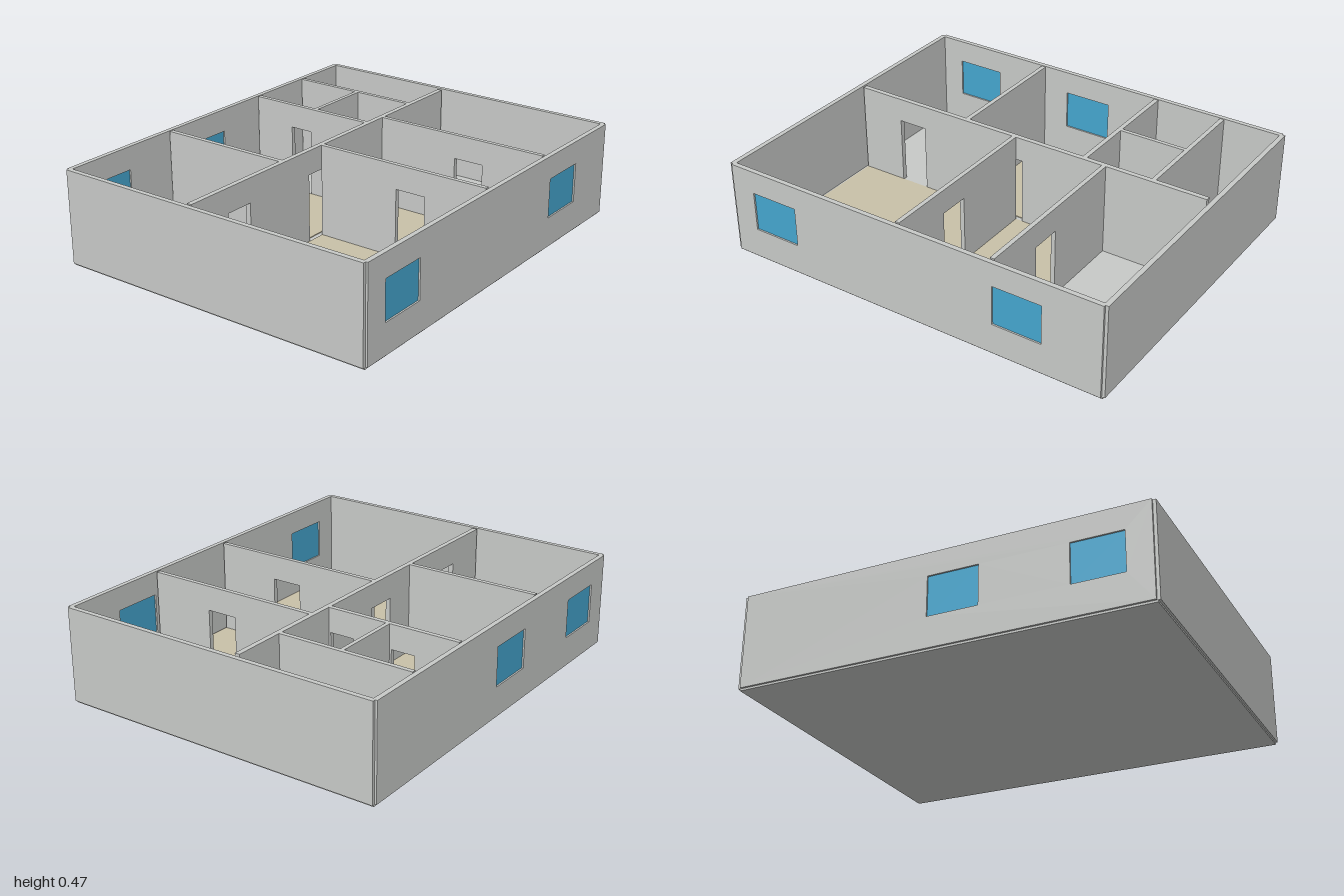
import * as THREE from 'three';

const BASE = 0.01, TOP = 0.47, DOOR_TOP = 0.35, SILL = 0.16, HEAD = 0.355;

export function createModel() {
  const model = new THREE.Group();
  model.name = 'floorPlanHouse';
  const mat = (name, color) => {
    const m = new THREE.MeshStandardMaterial({ color });
    m.name = name;
    return m;
  };
  const plaster = mat('grey plaster', 0xc8cac8);
  const wood = mat('beige floor', 0xc9c1a8);
  const glass = mat('blue glass', 0x45a6cf);

  function box(name, x0, x1, y0, y1, z0, z1, material) {
    const mesh = new THREE.Mesh(new THREE.BoxGeometry(x1 - x0, y1 - y0, z1 - z0), material);
    mesh.position.set((x0 + x1) / 2, (y0 + y1) / 2, (z0 + z1) / 2);
    mesh.name = name;
    model.add(mesh);
  }

  // A wall from a to b, with door notches and window holes given as [start, end]
  function wallGeometry(a, b, thickness, doors, windows) {
    const s = new THREE.Shape();
    s.moveTo(a, BASE);
    for (const [d0, d1] of doors) {
      s.lineTo(d0, BASE);
      s.lineTo(d0, DOOR_TOP);
      s.lineTo(d1, DOOR_TOP);
      s.lineTo(d1, BASE);
    }
    s.lineTo(b, BASE);
    s.lineTo(b, TOP);
    s.lineTo(a, TOP);
    s.closePath();
    for (const [w0, w1] of windows) {
      const h = new THREE.Path();
      h.moveTo(w0, SILL);
      h.lineTo(w0, HEAD);
      h.lineTo(w1, HEAD);
      h.lineTo(w1, SILL);
      h.closePath();
      s.holes.push(h);
    }
    return new THREE.ExtrudeGeometry(s, { depth: thickness, bevelEnabled: false });
  }

  function wallAlongX(name, a, b, z0, z1, doors = [], windows = []) {
    const mesh = new THREE.Mesh(wallGeometry(a, b, z1 - z0, doors, windows), plaster);
    mesh.position.z = z0;
    mesh.name = name;
    model.add(mesh);
    const mid = (z0 + z1) / 2;
    for (const [w0, w1] of windows) {
      box(name + 'WindowPane', w0, w1, SILL, HEAD, mid - 0.004, mid + 0.004, glass);
    }
  }

  function wallAlongZ(name, a, b, x0, x1, doors = []) {
    const mesh = new THREE.Mesh(wallGeometry(a, b, x1 - x0, doors, []), plaster);
    mesh.rotation.y = -Math.PI / 2;
    mesh.position.x = x1;
    mesh.name = name;
    model.add(mesh);
  }

  // Base slab and room floors
  box('baseSlab', -0.99, 0.99, 0, BASE, -0.82, 0.82, plaster);
  box('livingRoomFloor', -0.965, -0.07, BASE, 0.014, -0.1, 0.8, wood);
  box('diningRoomFloor', -0.05, 0.42, BASE, 0.014, -0.1, 0.8, wood);
  box('backRoomFloor', -0.33, 0.305, BASE, 0.014, -0.8, -0.125, wood);

  // Outer walls
  wallAlongX('frontWall', -0.985, 0.985, 0.806, 0.83, [], [[-0.865, -0.62], [0.45, 0.695]]);
  wallAlongX('backWall', -0.985, 0.985, -0.83, -0.806, [], [[-0.865, -0.62], [-0.2, 0.045]]);
  wallAlongZ('leftWall', -0.82, 0.82, 0.976, 1);
  wallAlongZ('rightWall', -0.82, 0.82, -1, -0.976);

  // Long dividing wall
  wallAlongX('middleWall', -0.965, 0.955, -0.125, -0.1, [[-0.735, -0.587], [-0.165, -0.012]]);

  // Back partitions
  wallAlongZ('backRoomPartition', -0.8, -0.125, -0.353, -0.33);
  wallAlongZ('bathroomPartition', -0.8, -0.125, 0.307, 0.33, [[-0.58, -0.46], [-0.26, -0.135]]);
  wallAlongZ('storePartition', -0.8, -0.125, 0.668, 0.69);
  wallAlongX('bathroomDivider', 0.33, 0.668, -0.45, -0.43);

  // Front partitions
  for (const [name, x] of [['livingRoomPartition', -0.07], ['diningRoomPartition', 0.421]]) {
    wallAlongZ(name, -0.1, 0.797, x, x + 0.022, [[0.325, 0.48]]);
  }
  return model;
}
